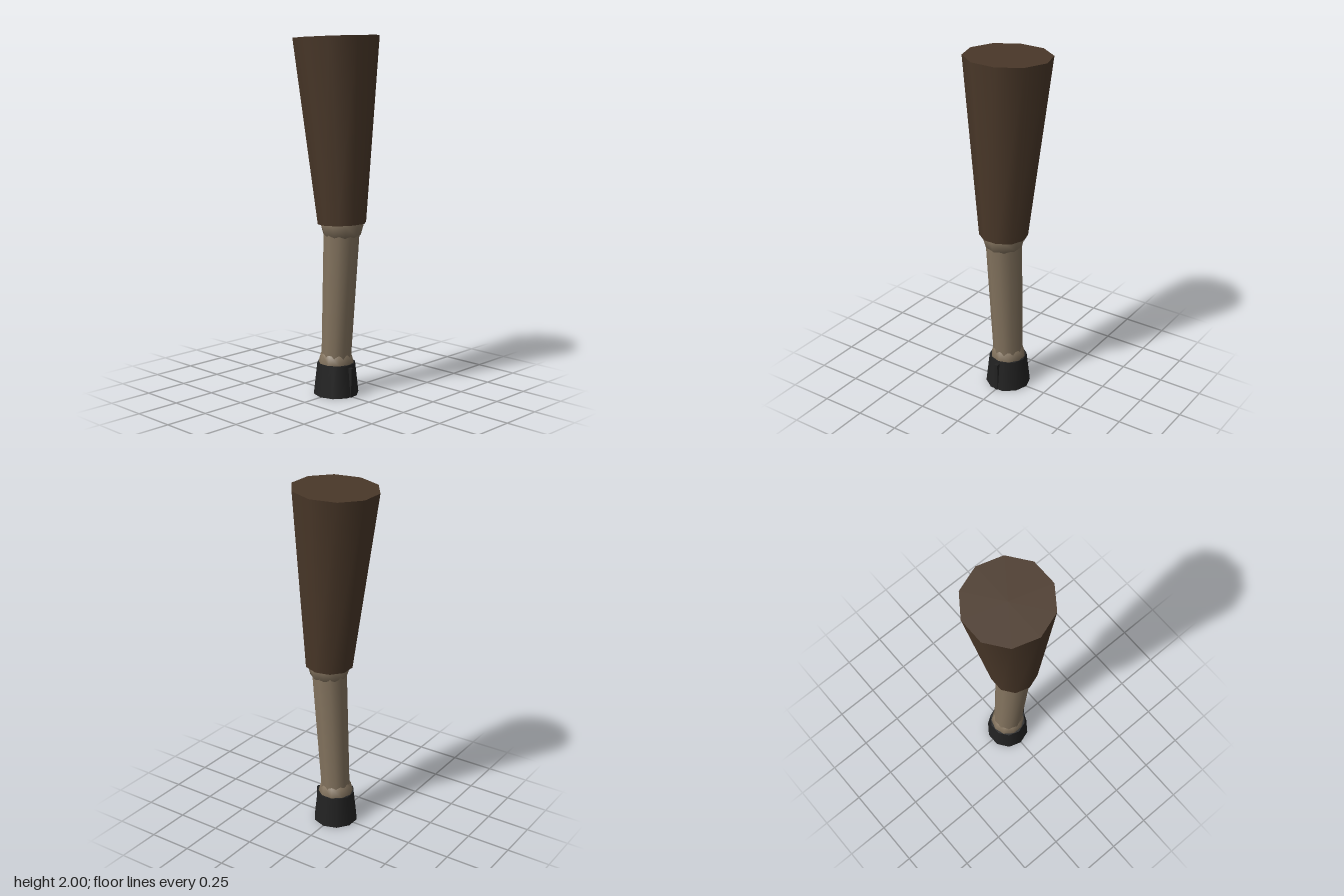
import * as THREE from 'three';

const material = (name, color) => {
  const m = new THREE.MeshStandardMaterial({ color });
  m.name = name;
  return m;
};

export function createModel() {
  const group = new THREE.Group();
  const darkBrown = material('dark brown', 0x4a3829);
  const tan = material('tan', 0x84745f);
  const black = material('black', 0x222222);

  const add = (name, geometry, mat, x = 0, y = 0, z = 0) => {
    const mesh = new THREE.Mesh(geometry, mat);
    mesh.name = name;
    mesh.position.set(x, y, z);
    group.add(mesh);
    return mesh;
  };

  // Tapered ten-sided limb between two points in the xy plane
  const limb = (name, mat, bottom, top, rBottom, rTop) => {
    const dx = top[0] - bottom[0], dy = top[1] - bottom[1];
    const mesh = add(name, new THREE.CylinderGeometry(rTop, rBottom, Math.hypot(dx, dy), 10),
      mat, (top[0] + bottom[0]) / 2, (top[1] + bottom[1]) / 2);
    mesh.rotation.z = -Math.atan2(dx, dy);
  };

  const knee = [0.043, 0.977];
  const ankle = [-0.002, 0.18];

  // Leg segments
  limb('upperLeg', darkBrown, knee, [-0.001, 1.99], 0.135, 0.239);
  limb('lowerLeg', tan, ankle, knee, 0.084, 0.102);

  // Joints
  add('kneeJoint', new THREE.SphereGeometry(0.121, 10, 6), tan, ...knee);
  add('ankleJoint', new THREE.SphereGeometry(0.1, 10, 6), tan, ...ankle);

  // Hoof and the narrow ridge on its +x face
  limb('hoof', black, [-0.002, 0], [-0.002, 0.18], 0.128, 0.108);
  add('hoofRidge', new THREE.BoxGeometry(0.05, 0.165, 0.02), black, 0.1, 0.0825);

  return group;
}
